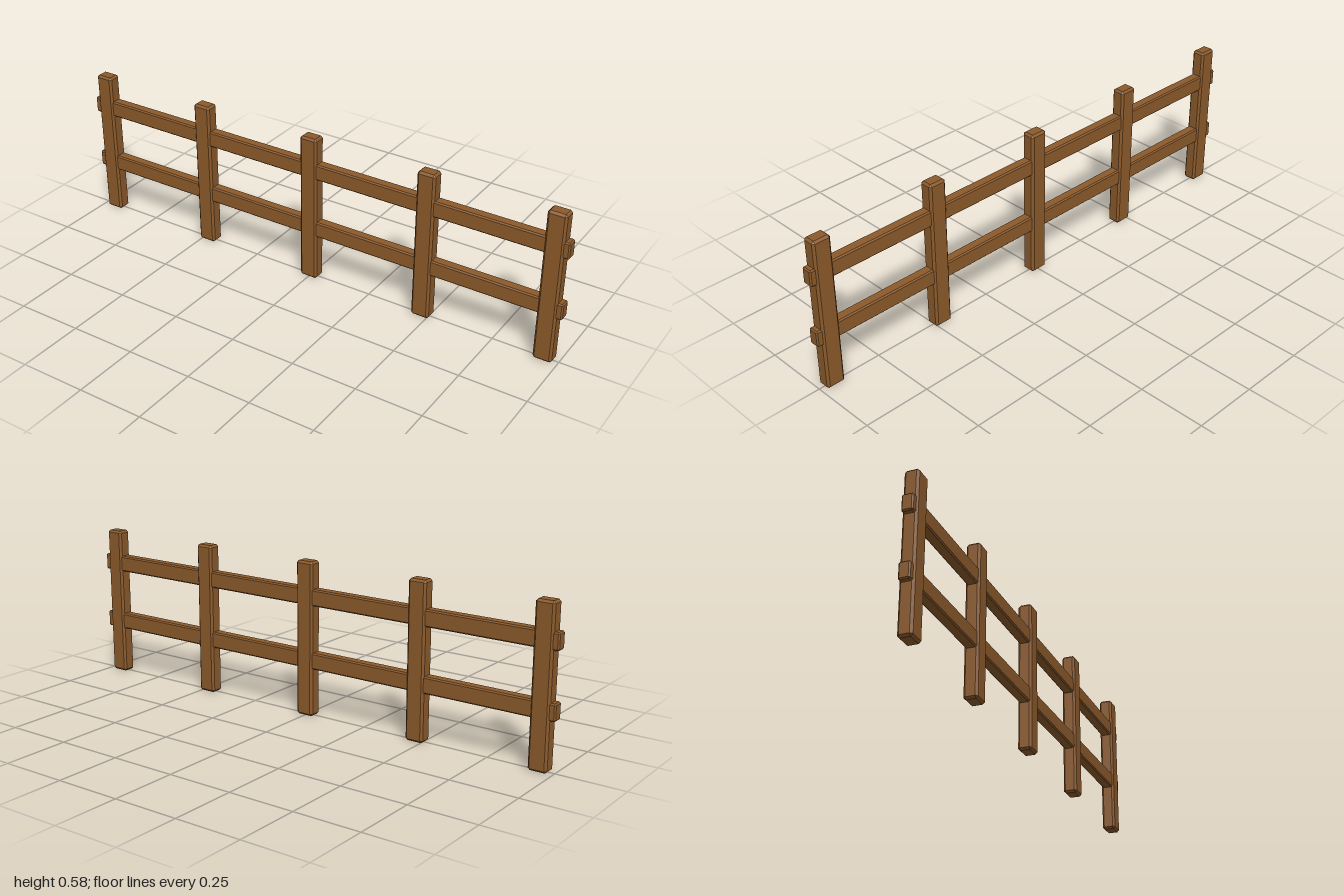
import * as THREE from 'three';
import { ConvexGeometry } from 'three/addons/geometries/ConvexGeometry.js';

// Box with every edge and corner chamfered by c
function chamferBox(w, h, d, c) {
  const [x, y, z] = [w / 2, h / 2, d / 2];
  const points = [];
  for (const sx of [-1, 1]) for (const sy of [-1, 1]) for (const sz of [-1, 1]) {
    points.push(
      new THREE.Vector3(sx * x, sy * (y - c), sz * (z - c)),
      new THREE.Vector3(sx * (x - c), sy * y, sz * (z - c)),
      new THREE.Vector3(sx * (x - c), sy * (y - c), sz * z)
    );
  }
  return new ConvexGeometry(points);
}

export function createModel() {
  const fence = new THREE.Group();
  fence.name = 'fence';

  const wood = new THREE.MeshStandardMaterial({ color: 0x8b5a2b });
  wood.name = 'brown wood';

  // Five evenly spaced upright posts
  const postHeight = 0.58;
  const postGeometry = chamferBox(0.07, postHeight, 0.052, 0.008);
  for (let i = -2; i <= 2; i++) {
    const post = new THREE.Mesh(postGeometry, wood);
    post.name = `post${i + 3}`;
    post.position.set(i * 0.473, postHeight / 2, 0);
    fence.add(post);
  }

  // Two horizontal rails running through the posts
  const railGeometry = chamferBox(2, 0.062, 0.041, 0.005);
  for (const [name, y] of [['lowerRail', 0.212], ['upperRail', 0.449]]) {
    const rail = new THREE.Mesh(railGeometry, wood);
    rail.name = name;
    rail.position.y = y;
    fence.add(rail);
  }

  return fence;
}
